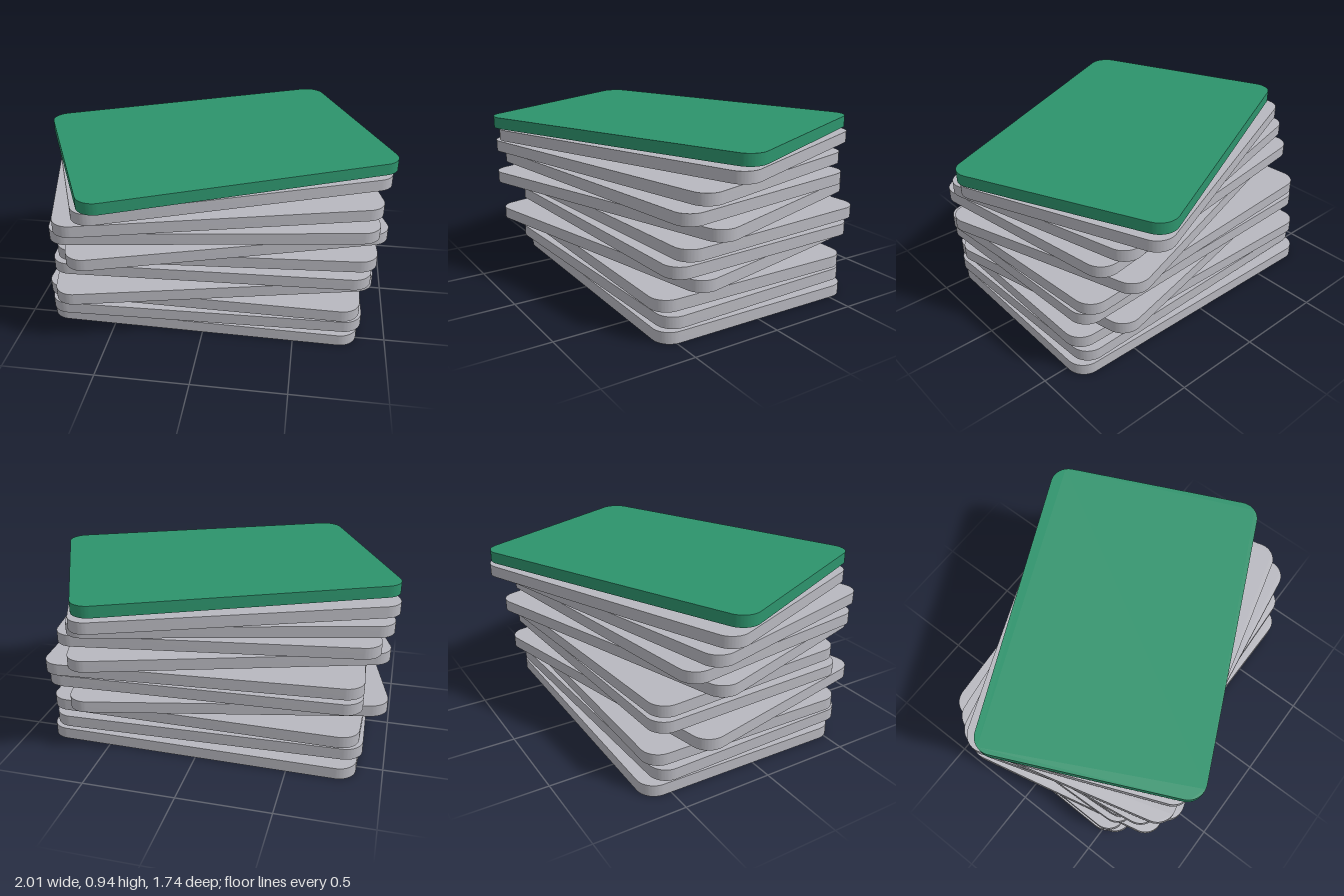
import * as THREE from 'three';
import { toCreasedNormals } from 'three/addons/utils/BufferGeometryUtils.js';

const WIDTH = 1.72, DEPTH = 1.2, RADIUS = 0.1;
const THICKNESS = 0.0635, PITCH = 0.0875;

// Offset x, offset z and turn in degrees of each slab, bottom to top
const SLABS = [
  [-0.008, -0.03, -0.8],
  [-0.011, -0.006, 1.6],
  [-0.009, -0.008, -0.6],
  [-0.039, 0.015, 12.6],
  [0.012, -0.015, 2.3],
  [0.025, -0.034, 4.0],
  [-0.003, 0.025, 17.5],
  [-0.008, 0.032, 8.4],
  [-0.028, 0.034, 14.4],
  [-0.015, -0.025, 22.0],
  [0, 0, 24.5],
];

// Flat plate with rounded corners, lying on y = 0
function slabGeometry() {
  const a = WIDTH / 2 - RADIUS, b = DEPTH / 2 - RADIUS;
  const shape = new THREE.Shape();
  [[a, b], [-a, b], [-a, -b], [a, -b]].forEach(([x, y], i) => {
    shape.absarc(x, y, RADIUS, i * Math.PI / 2, (i + 1) * Math.PI / 2, false);
  });
  shape.closePath();
  const geometry = new THREE.ExtrudeGeometry(shape, {
    depth: THICKNESS, bevelEnabled: false, curveSegments: 12,
  });
  geometry.rotateX(-Math.PI / 2);
  return toCreasedNormals(geometry, Math.PI / 5);
}

export function createModel() {
  const grey = new THREE.MeshStandardMaterial({ color: 0xb8b8bf });
  grey.name = 'light grey';
  const green = new THREE.MeshStandardMaterial({ color: 0x2d936c });
  green.name = 'green';

  const group = new THREE.Group();
  group.name = 'slabStack';
  const geometry = slabGeometry();

  // Loosely turned stack with a green slab on top
  SLABS.forEach(([x, z, turn], i) => {
    const top = i === SLABS.length - 1;
    const slab = new THREE.Mesh(geometry, top ? green : grey);
    slab.name = top ? 'topSlab' : `slab${i + 1}`;
    slab.position.set(x, i * PITCH, z);
    slab.rotation.y = THREE.MathUtils.degToRad(turn);
    group.add(slab);
  });
  return group;
}
